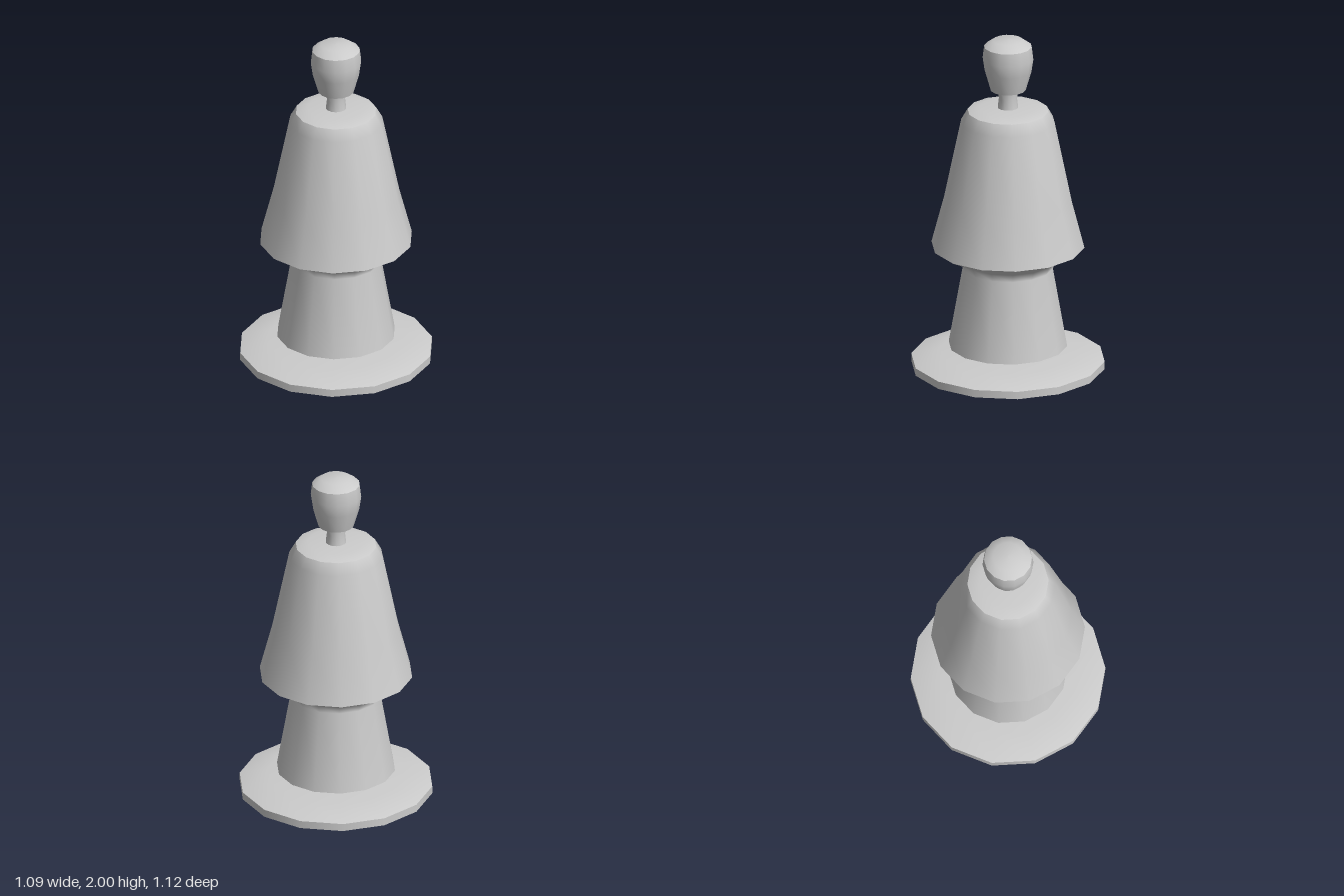
import * as THREE from 'three';
import { mergeGeometries } from 'three/addons/utils/BufferGeometryUtils.js';

const SIDES = 14;

// Turned part: each section is a smooth run of [radius, y]; creases fall between sections.
function turned(name, material, sections) {
  const parts = sections.map((section) =>
    new THREE.LatheGeometry(section.map(([r, y]) => new THREE.Vector2(r, y)), SIDES));
  const mesh = new THREE.Mesh(mergeGeometries(parts), material);
  mesh.name = name;
  return mesh;
}

export function createModel() {
  const group = new THREE.Group();
  group.name = 'turnedFigure';
  const grey = new THREE.MeshStandardMaterial({ color: 0xcccccc, side: THREE.DoubleSide });

  // Flat foot disc with a sloping upper face
  group.add(turned('base', grey, [
    [[0, 0], [0.56, 0]],
    [[0.56, 0], [0.56, 0.045]],
    [[0.56, 0.045], [0.395, 0.09], [0, 0.09]],
  ]));

  // Tapered stem flaring out to the underside of the skirt
  group.add(turned('stem', grey, [
    [[0, 0.13], [0.343, 0.13]],
    [[0.343, 0.13], [0.26, 0.605], [0.28, 0.655], [0.443, 0.74]],
  ]));

  // Bell-shaped upper body with a shallow crown
  group.add(turned('bell', grey, [
    [[0.443, 0.74], [0.37, 1.02], [0.271, 1.5], [0.234, 1.565]],
    [[0.234, 1.565], [0.163, 1.585], [0, 1.585]],
  ]));

  // Thin waisted neck
  group.add(turned('neck', grey, [
    [[0.06, 1.58], [0.053, 1.64], [0.059, 1.7]],
  ]));

  // Knob head with a domed cap
  group.add(turned('head', grey, [
    [[0, 1.695], [0.103, 1.695]],
    [[0.103, 1.695], [0.136, 1.81], [0.147, 1.885], [0.138, 1.96]],
    [[0.138, 1.96], [0.087, 1.997], [0, 2]],
  ]));

  return group;
}
